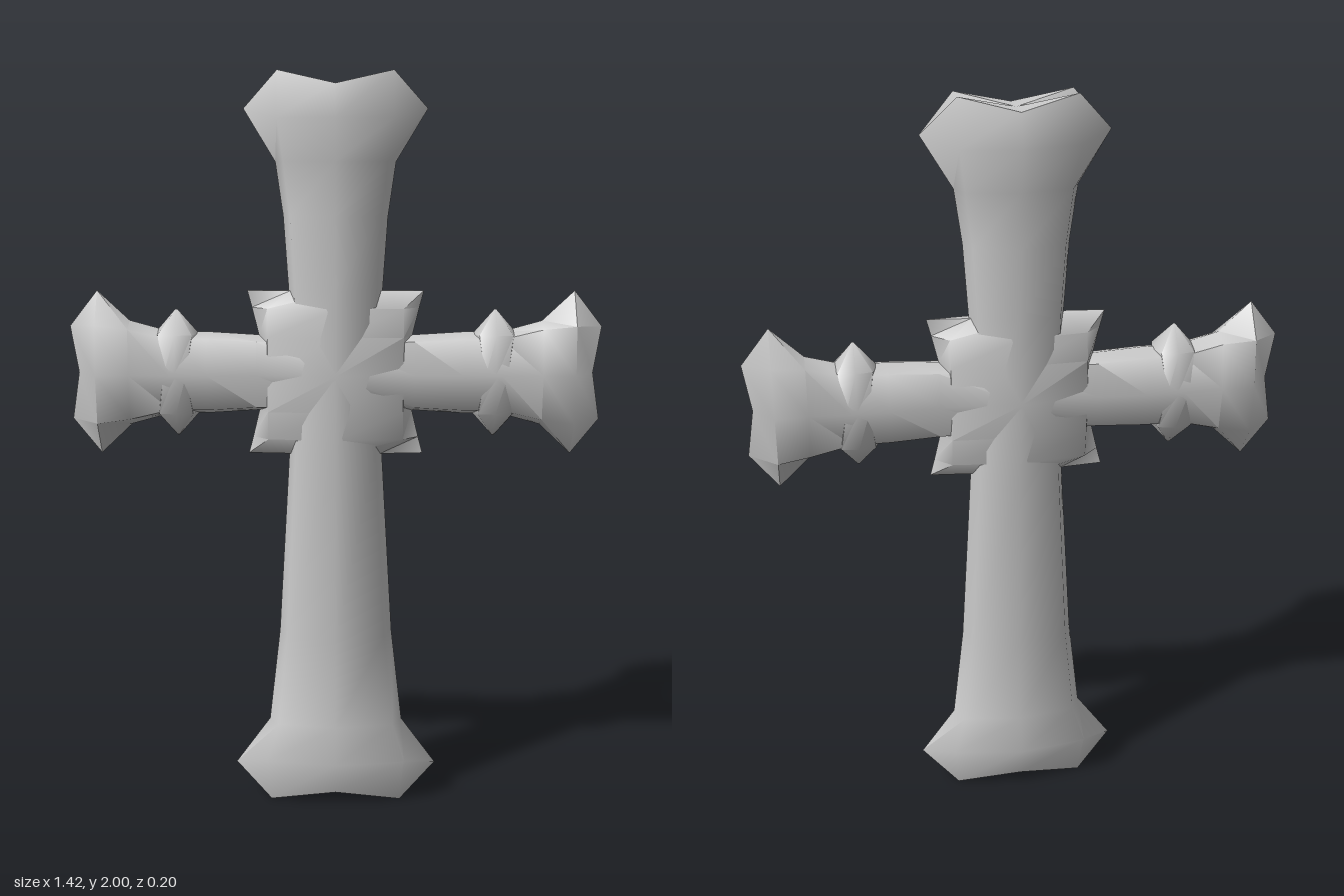
import * as THREE from 'three';
import { toCreasedNormals } from 'three/addons/utils/BufferGeometryUtils.js';

const CENTRE_Y = 1.215;
const material = new THREE.MeshStandardMaterial({ color: 0xcccccc });

// Cross-section: sharp side edge, shoulder and centre ridge, each with its own position along the axis.
const section = (a, w, z, shoulderW = w * 0.86, shoulderZ = 0.05, shoulderA = a, ridgeA = a) =>
  ({ a, w, z, shoulderW, shoulderZ, shoulderA, ridgeA });

// Lofts mirrored eight-point sections along +y and closes both ends.
function loft(sections) {
  const pos = [], idx = [];
  for (const s of sections) {
    pos.push(
      s.w, s.a, 0, s.shoulderW, s.shoulderA, s.shoulderZ, 0, s.ridgeA, s.z,
      -s.shoulderW, s.shoulderA, s.shoulderZ, -s.w, s.a, 0,
      -s.shoulderW, s.shoulderA, -s.shoulderZ, 0, s.ridgeA, -s.z,
      s.shoulderW, s.shoulderA, -s.shoulderZ);
  }
  const n = sections.length, base = (n - 1) * 8;
  for (let r = 0; r < n - 1; r++) {
    for (let i = 0; i < 8; i++) {
      const a = r * 8 + i, b = r * 8 + (i + 1) % 8;
      idx.push(a, a + 8, b, b, a + 8, b + 8);
    }
  }
  pos.push(0, sections[0].ridgeA, 0, 0, sections[n - 1].ridgeA, 0);
  for (let i = 0; i < 8; i++) {
    const j = (i + 1) % 8;
    idx.push(n * 8, i, j, n * 8 + 1, base + j, base + i);
  }
  const geo = new THREE.BufferGeometry();
  geo.setAttribute('position', new THREE.Float32BufferAttribute(pos, 3));
  geo.setIndex(idx);
  return toCreasedNormals(geo, 1.1);
}

export function createModel() {
  const group = new THREE.Group();
  const add = (name, geo, x = 0, y = 0, turn = 0) => {
    const mesh = new THREE.Mesh(geo, material);
    mesh.name = name;
    mesh.position.set(x, y, 0);
    mesh.rotation.z = turn;
    group.add(mesh);
  };

  // Upright with flared, notched ends
  add('upright', loft([
    section(0.1, 0.28, 0.075, 0.18, 0.04, 0.005, 0.04),
    section(0.1, 0.28, 0.1, 0.19, 0.07, 0.13, 0.13),
    section(0.23, 0.185, 0.075),
    section(0.49, 0.155, 0.085),
    section(1.0, 0.125, 0.067),
    section(CENTRE_Y, 0.12, 0.085),
    section(1.44, 0.125, 0.067),
    section(1.63, 0.138, 0.085),
    section(1.77, 0.158, 0.075),
    section(1.905, 0.24, 0.1, 0.15, 0.07, 1.88, 1.88),
    section(1.905, 0.24, 0.075, 0.15, 0.04, 2.0, 1.965),
  ]));

  // Arms with pointed, flared tips
  const arm = loft([
    section(0, 0.1, 0.08),
    section(0.21, 0.102, 0.066),
    section(0.34, 0.11, 0.075),
    section(0.44, 0.11, 0.075),
    section(0.55, 0.14, 0.065),
    section(0.635, 0.22, 0.075, 0.13, 0.062),
    section(0.635, 0.22, 0, 0.125, 0, 0.71, 0.69),
  ]);

  // Square boss with thin projecting corners
  const bossHalf = [
    section(0.22, 0.235, 0.055, 0.12, 0.012),
    section(0.175, 0.223, 0.066, 0.18, 0.045),
    section(0.1, 0.205, 0.066, 0.18, 0.056),
  ];
  const flip = (s) => ({ ...s, a: -s.a, shoulderA: -s.shoulderA, ridgeA: -s.ridgeA });
  const mirrored = (half, middle) => loft([...half.map(flip), middle, ...[...half].reverse()]);
  add('centreBoss', mirrored(bossHalf, section(0, 0.2, 0.086, 0.18, 0.062)), 0, CENTRE_Y);

  // Small spiked collars around the arms
  const collar = mirrored([
    section(0.17, 0.003, 0.003, 0.002, 0.002),
    section(0.105, 0.06, 0.06, 0.045, 0.05),
  ], section(0, 0.04, 0.074, 0.03, 0.072));

  for (const side of [1, -1]) {
    const prefix = side > 0 ? 'left' : 'right';
    add(prefix + 'Arm', arm, 0, CENTRE_Y, -side * Math.PI / 2);
    add(prefix + 'Collar', collar, side * 0.425, CENTRE_Y);
  }
  return group;
}
